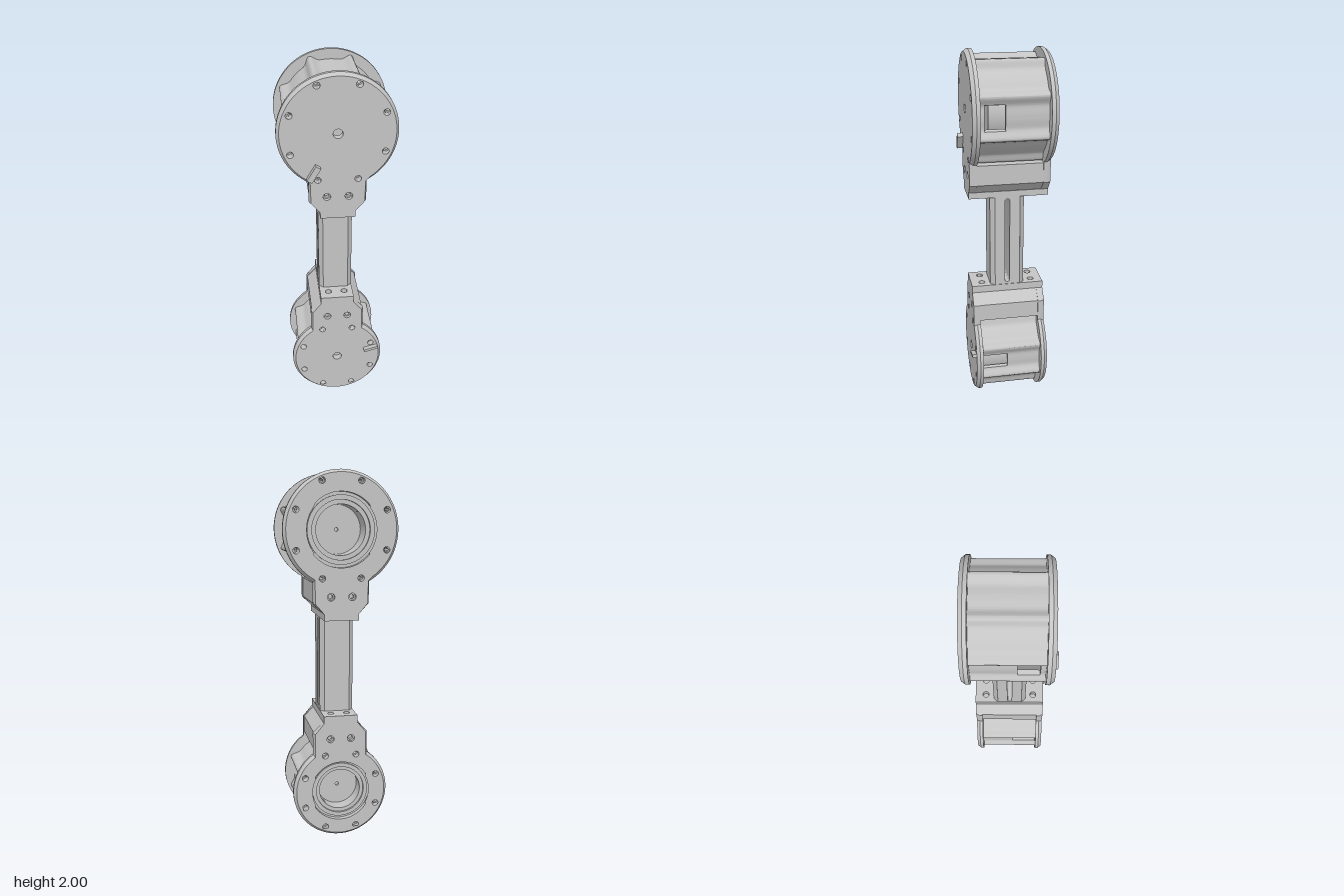
import * as THREE from 'three';
import { toCreasedNormals } from 'three/addons/utils/BufferGeometryUtils.js';

const SEG = 40;

function circlePath(x, y, r) {
  return new THREE.Path().absarc(x, y, r, 0, Math.PI * 2, true);
}

function polygon(points) {
  return new THREE.Shape(points.map(([x, y]) => new THREE.Vector2(x, y)));
}

function extrude(shape, depth, steps = 1) {
  return new THREE.ExtrudeGeometry(shape, { depth, steps, bevelEnabled: false, curveSegments: SEG });
}

// Extrude a shape drawn in (x, z) upward along y, from y = 0
function extrudeUp(points, height, holes = []) {
  const shape = polygon(points.map(([x, z]) => [x, -z]));
  for (const [x, z, r] of holes) shape.holes.push(circlePath(x, -z, r));
  return extrude(shape, height).rotateX(-Math.PI / 2);
}

export function createModel() {
  const model = new THREE.Group();
  const metal = new THREE.MeshStandardMaterial({ color: 0xc4c4c4 });
  metal.name = 'light grey metal';

  function add(parent, name, geometry, x = 0, y = 0, z = 0) {
    const mesh = new THREE.Mesh(toCreasedNormals(geometry, 0.6), metal);
    mesh.name = name;
    mesh.position.set(x, y, z);
    parent.add(mesh);
    return mesh;
  }

  const boltAngles = Array.from({ length: 8 }, (_, i) => Math.PI / 8 + (i * Math.PI) / 4);

  // Round cover with a neck tab below it; the outer rim is chamfered on +z
  function coverPlate(u, depth, bore) {
    const { R, boltR, neck, tabHoleY } = u;
    const w = 0.15, n = 0.093;
    const a = -Math.acos(w / R);
    const shape = new THREE.Shape();
    shape.absarc(0, 0, R, a, Math.PI - a, false);
    for (const [x, y] of [[-w, neck[0]], [-n, neck[1]], [-n, neck[2]], [n, neck[2]], [n, neck[1]], [w, neck[0]]])
      shape.lineTo(x, y);
    shape.closePath();
    shape.holes.push(circlePath(0, 0, bore));
    for (const t of boltAngles)
      shape.holes.push(circlePath(boltR * Math.cos(t), boltR * Math.sin(t), 0.017));
    for (const x of [-0.057, 0.057]) shape.holes.push(circlePath(x, tabHoleY, 0.02));

    const geo = extrude(shape, depth, 2);
    const p = geo.attributes.position;
    for (let i = 0; i < p.count; i++) {
      if (p.getZ(i) < depth - 1e-4) continue;
      const x = p.getX(i), y = p.getY(i);
      if (Math.abs(Math.hypot(x, y) - R) < 1e-3) {
        const s = (R - 0.015) / R;
        p.setXY(i, x * s, y * s);
      } else if (Math.abs(x) > w - 1e-3) {
        p.setX(i, x - Math.sign(x) * 0.01);
      }
    }
    return geo;
  }

  // Outline of the drum: a circle swelling smoothly into eight bolt ribs
  function drumOutline(u, a0, a1) {
    const count = Math.round((a1 - a0) * 76);
    return Array.from({ length: count + 1 }, (_, i) => {
      const a = a0 + ((a1 - a0) * i) / count;
      const nearest = Math.PI / 8 + Math.round((a - Math.PI / 8) / (Math.PI / 4)) * (Math.PI / 4);
      const d = (a - nearest) * u.boltR;
      const r = u.drumR + 0.037 * Math.exp(-((d / 0.028) ** 2));
      return [r * Math.cos(a), r * Math.sin(a)];
    });
  }

  // Drum wall between two angles, drilled through its ribs; a full turn closes it
  function drumWall(u, a0, a1, depth) {
    const r0 = u.drumR - 0.018;
    const full = a1 - a0 > 6.28;
    const outline = drumOutline(u, a0, a1);
    if (full) outline.pop();
    const s = polygon(outline);
    if (full) s.holes.push(circlePath(0, 0, r0));
    else s.absarc(0, 0, r0, a1, a0, true);
    for (const t of boltAngles)
      if (t > a0 && t < a1) s.holes.push(circlePath(u.boltR * Math.cos(t), u.boltR * Math.sin(t), 0.01));
    return extrude(s, depth);
  }

  function ring(r0, r1, depth) {
    const s = new THREE.Shape().absarc(0, 0, r1, 0, Math.PI * 2, false);
    s.holes.push(circlePath(0, 0, r0));
    return extrude(s, depth);
  }

  // One actuator housing with its bracket, centred on its axis, neck down
  function buildUnit(name, u) {
    const g = new THREE.Group();
    g.name = name;
    const { front, back, plate, neck, blockTop, window: win, k } = u;
    const zf = front - plate, zb = back + plate, span = zf - zb;

    add(g, 'frontCover', coverPlate(u, plate, 0.025), 0, 0, zf);
    add(g, 'backCover', coverPlate(u, plate, 0.195 * k).rotateY(Math.PI), 0, 0, zb);

    // Counterbore collars in the neck tab holes
    for (const x of [-0.057, 0.057])
      for (const z of [zf, zb - 0.02]) add(g, 'tabHoleCollar', ring(0.012, 0.02, 0.02), x, u.tabHoleY, z);

    // Drum wall, open at a window on each side
    add(g, 'drumRear', drumWall(u, 0, Math.PI * 2, win.z0 - zb), 0, 0, zb);
    add(g, 'drumFront', drumWall(u, 0, Math.PI * 2, zf - win.z1), 0, 0, win.z1);
    for (const start of [0, Math.PI])
      add(g, 'drumWindowWall',
        drumWall(u, start + win.half, start + Math.PI - win.half, win.z1 - win.z0), 0, 0, win.z0);

    // Inner body with a stepped bore opening to the back
    const floor = back + u.boreDepth;
    const profile = [
      [0, floor + 0.012], [0.01, floor + 0.012], [0.01, floor], [0.132 * k, floor],
      [0.132 * k, back + 0.03], [0.155 * k, back + 0.03], [0.155 * k, back + 0.018],
      [0.18 * k, back + 0.018], [0.18 * k, back + 0.028], [0.2 * k, back + 0.028],
      [0.2 * k, u.bodyFront], [0, u.bodyFront],
    ].map(([r, z]) => new THREE.Vector2(r, z));
    add(g, 'innerBody', new THREE.LatheGeometry(profile, 56).rotateX(Math.PI / 2));

    // Neck block between the covers, and the drilled flange under it
    add(g, 'neckBlock', extrude(polygon([
      [-0.145, blockTop], [-0.145, neck[0]], [-0.09, neck[1]],
      [0.09, neck[1]], [0.145, neck[0]], [0.145, blockTop],
    ]), span), 0, 0, zb);
    const holes = [];
    for (const x of [-0.045, 0.045]) for (const z of [zf - 0.025, zb + 0.025]) holes.push([x, z, 0.018]);
    add(g, 'flange', extrudeUp([[-0.093, zf], [0.093, zf], [0.093, zb], [-0.093, zb]],
      neck[1] - neck[2], holes), 0, neck[2], 0);

    // Small radial bar on the front cover
    const { angle, r, length, width, height } = u.bar;
    add(g, 'indexBar', new THREE.BoxGeometry(length, width, height + 0.01),
      r * Math.cos(angle), r * Math.sin(angle), front + height / 2 - 0.005).rotation.z = angle;

    model.add(g);
    return g;
  }

  const upper = buildUnit('upperHousing', {
    R: 0.307, boltR: 0.27, drumR: 0.253, k: 1, front: 0.203, back: -0.234, plate: 0.04,
    neck: [-0.383, -0.438, -0.473], tabHoleY: -0.347, blockTop: -0.274,
    window: { z0: 0.03, z1: 0.137, half: 0.26 }, bodyFront: 0.11, boreDepth: 0.15,
    bar: { angle: 4.165, r: 0.24, length: 0.09, width: 0.03, height: 0.031 },
  });
  upper.position.y = 1.693;

  const lower = buildUnit('lowerHousing', {
    R: 0.262, boltR: 0.225, drumR: 0.208, k: 0.86, front: 0.192, back: -0.215, plate: 0.037,
    neck: [-0.335, -0.392, -0.432], tabHoleY: -0.302, blockTop: -0.238,
    window: { z0: 0.01, z1: 0.15, half: 0.195 }, bodyFront: 0.15, boreDepth: 0.11,
    bar: { angle: 0.27 + Math.PI, r: 0.205, length: 0.085, width: 0.016, height: 0.025 },
  });
  lower.position.y = 0.262;
  lower.rotation.z = Math.PI;

  // Link column: slotted core with a chamfered rail on the front and back
  const column = new THREE.Group();
  column.name = 'column';
  model.add(column);
  const y0 = 0.69, y1 = 1.225, zc = -0.01, slot = 0.013;
  const core = polygon([[-0.07, y0], [0.07, y0], [0.07, y1], [-0.07, y1]]);
  const gap = new THREE.Path();
  gap.absarc(0, y1 - 0.03, slot, 0, Math.PI, false);
  gap.absarc(0, y0 + 0.03, slot, Math.PI, Math.PI * 2, false);
  gap.closePath();
  core.holes.push(gap);
  add(column, 'slottedCore', extrude(core, 0.18).translate(0, 0, -0.09).rotateY(Math.PI / 2), 0, 0, zc);

  // The core above is drawn in (z, y) and spans x; the rails cover its front and back edges
  for (const turn of [0, Math.PI]) {
    const rail = extrudeUp([[-0.093, 0.07], [-0.07, 0.095], [0.07, 0.095], [0.093, 0.07]], y1 - y0);
    add(column, 'rail', rail.rotateY(turn), 0, y0, zc);
  }

  return model;
}
